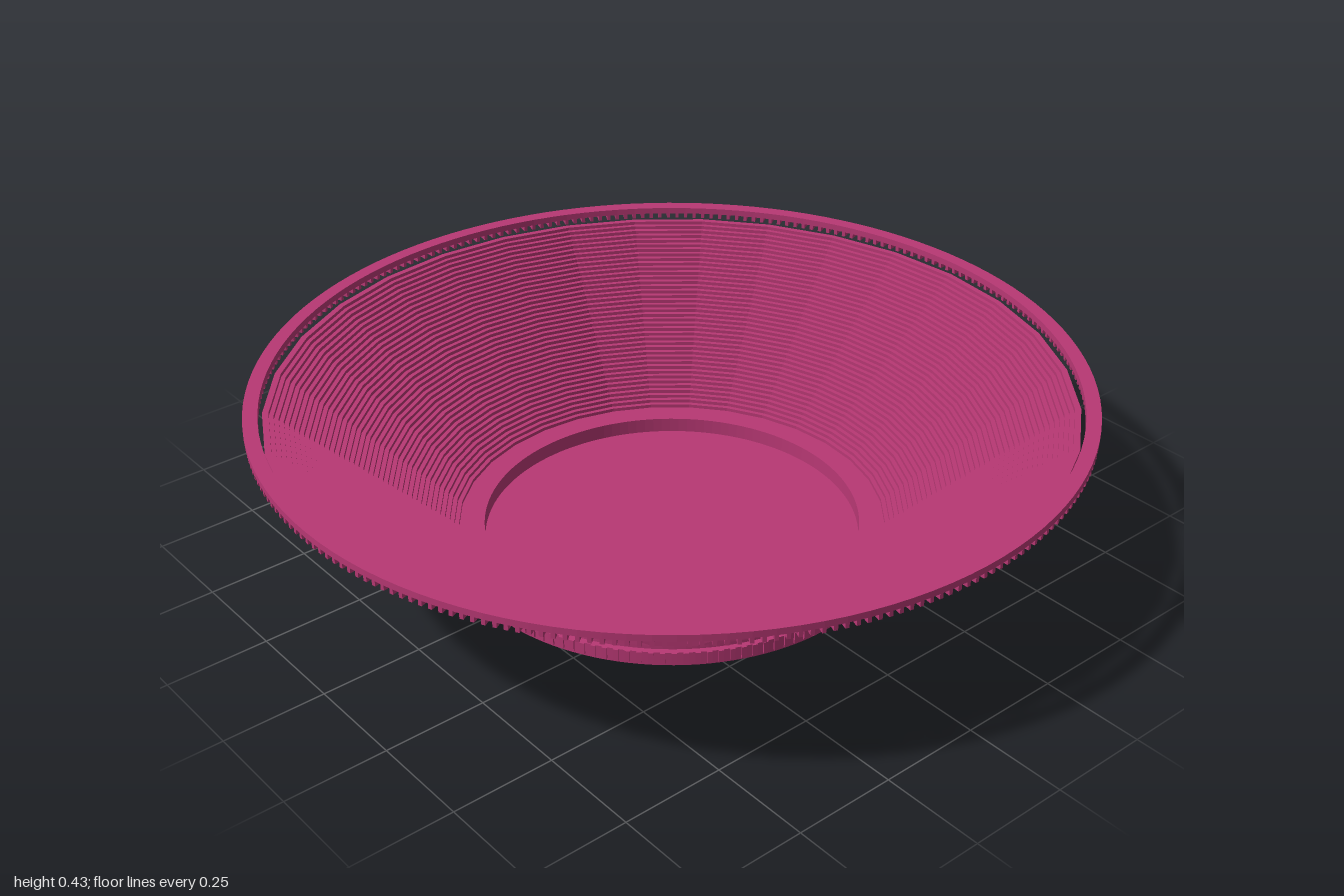
import * as THREE from 'three';

const material = new THREE.MeshStandardMaterial({ color: 0xb83874, flatShading: true, side: THREE.DoubleSide });

// Revolve a list of [radius, height] points, listed from the bottom up on the outside
function revolve(name, points, sides) {
  const profile = points.map(([r, y]) => new THREE.Vector2(r, y));
  const mesh = new THREE.Mesh(new THREE.LatheGeometry(profile, sides), material);
  mesh.name = name;
  return mesh;
}

// Flat ring with a rectangular section
function ring(name, inner, outer, bottom, top, sides) {
  return revolve(name, [
    [inner, bottom], [outer, bottom], [outer, top], [inner, top], [inner, bottom],
  ], sides);
}

// Circle of small radial blocks
function blockCircle(name, count, inner, outer, bottom, top, width) {
  const group = new THREE.Group();
  group.name = name;
  const geometry = new THREE.BoxGeometry(outer - inner, top - bottom, width);
  geometry.translate((inner + outer) / 2, (bottom + top) / 2, 0);
  for (let i = 0; i < count; i++) {
    const block = new THREE.Mesh(geometry, material);
    block.name = name + 'Block';
    block.rotation.y = (i / count) * Math.PI * 2;
    group.add(block);
  }
  return group;
}

export function createModel() {
  const bowl = new THREE.Group();
  bowl.name = 'bowl';

  // Base: recessed floor with a raised shoulder and a wider foot
  bowl.add(revolve('base', [
    [0, 0], [0.54, 0], [0.54, 0.035], [0.527, 0.035], [0.527, 0.05],
    [0.46, 0.05], [0.46, 0.012], [0, 0.012],
  ], 128));
  bowl.add(blockCircle('footRibs', 128, 0.53, 0.544, 0.005, 0.035, 0.012));

  // Wall: stacked rings that step outward
  const wall = new THREE.Group();
  wall.name = 'wall';
  const steps = 40, bottom = 0.05, height = 0.35 / steps;
  for (let i = 0; i < steps; i++) {
    const outer = 0.537 + (0.96 - 0.537) * (i / (steps - 1));
    const y = bottom + i * height;
    wall.add(ring('wallRing', outer - 0.015, outer, y, y + height, 32));
  }
  bowl.add(wall);

  // Rim: flat ring carried by short spaced blocks
  bowl.add(ring('rim', 0.965, 1, 0.414, 0.43, 128));
  bowl.add(blockCircle('rimBlocks', 256, 0.967, 0.999, 0.4, 0.414, 0.009));

  return bowl;
}
